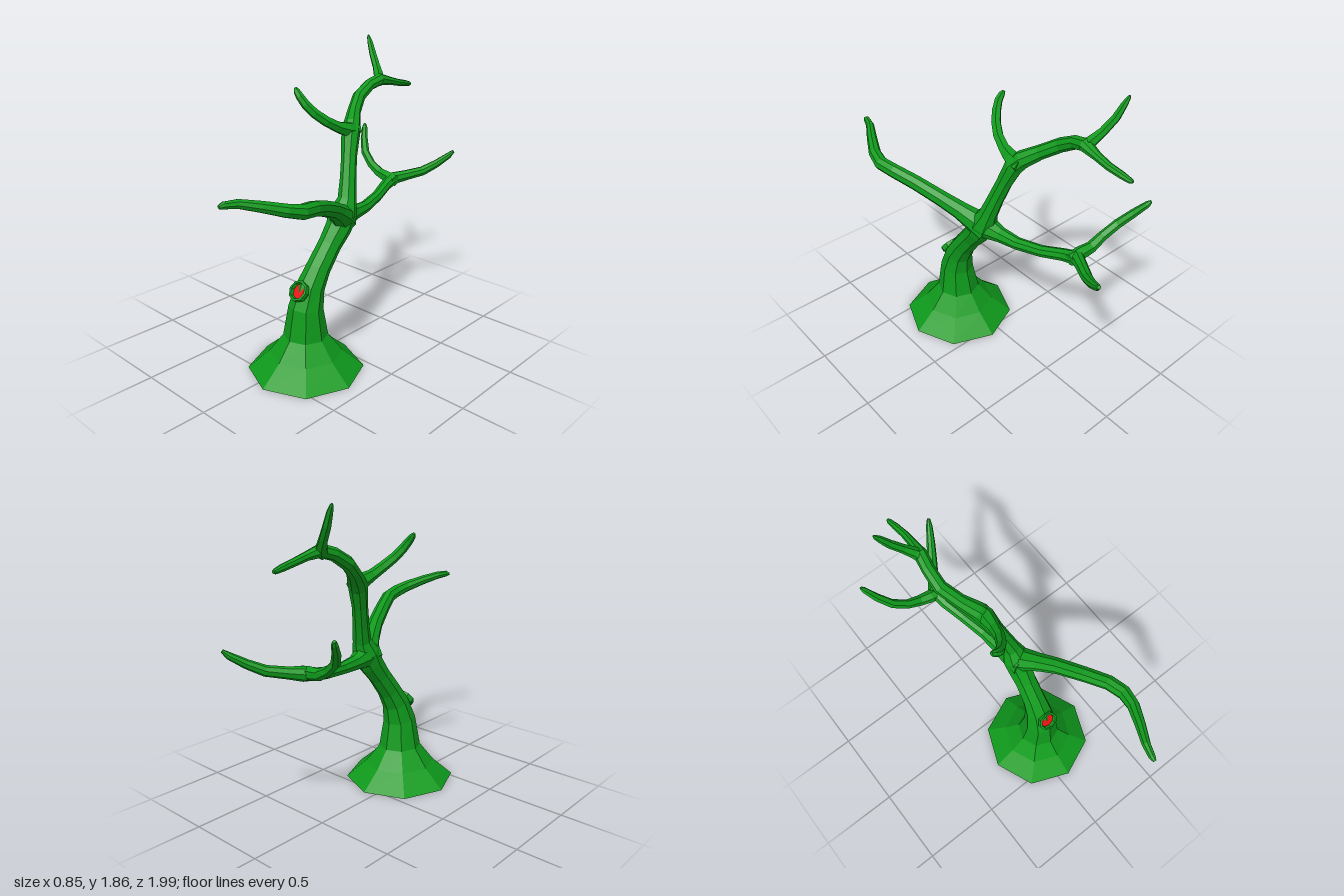
import * as THREE from 'three';

const green = new THREE.MeshStandardMaterial({ color: 0x0f9a1c, flatShading: true, side: THREE.DoubleSide });
const red = new THREE.MeshStandardMaterial({ color: 0xe81010, flatShading: true, side: THREE.DoubleSide });

// Sweep a polygon along points [x, y, z, radius], closing both ends.
function limb(name, points, sides) {
  const P = points.map(p => new THREE.Vector3(p[0], p[1], p[2]));
  const n = P.length;
  const verts = [], index = [];
  let u = null;
  P.forEach((p, i) => {
    const t = new THREE.Vector3();
    if (i > 0) t.add(P[i].clone().sub(P[i - 1]).normalize());
    if (i < n - 1) t.add(P[i + 1].clone().sub(P[i]).normalize());
    t.normalize();
    if (!u) u = Math.abs(t.x) > 0.7 ? new THREE.Vector3(0, 1, 0) : new THREE.Vector3(1, 0, 0);
    u.addScaledVector(t, -u.dot(t)).normalize();
    const v = t.clone().cross(u);
    for (let k = 0; k < sides; k++) {
      const a = k / sides * Math.PI * 2;
      const q = p.clone()
        .addScaledVector(u, Math.cos(a) * points[i][3])
        .addScaledVector(v, Math.sin(a) * points[i][3]);
      verts.push(q.x, q.y, q.z);
    }
  });
  for (let i = 0; i < n - 1; i++) {
    for (let k = 0; k < sides; k++) {
      const a = i * sides + k, b = i * sides + (k + 1) % sides;
      index.push(a, b, b + sides, a, b + sides, a + sides);
    }
  }
  const first = n * sides, last = first + 1, end = (n - 1) * sides;
  verts.push(...P[0].toArray(), ...P[n - 1].toArray());
  for (let k = 0; k < sides; k++) {
    const j = (k + 1) % sides;
    index.push(j, k, first, end + k, end + j, last);
  }
  const geo = new THREE.BufferGeometry();
  geo.setAttribute('position', new THREE.Float32BufferAttribute(verts, 3));
  geo.setIndex(index);
  geo.computeVertexNormals();
  const mesh = new THREE.Mesh(geo, green);
  mesh.name = name;
  return mesh;
}

export function createModel() {
  const tree = new THREE.Group();
  tree.name = 'bareTree';

  // Flared trunk running on into the upper stem
  tree.add(limb('trunk', [
    [0.07, 0, 0.285, 0.347], [0.07, 0.11, 0.285, 0.22], [0.07, 0.22, 0.285, 0.133],
    [0.075, 0.4, 0.285, 0.103], [0.08, 0.52, 0.25, 0.084], [0.085, 0.62, 0.19, 0.073],
    [0.09, 0.74, 0.1, 0.069], [0.095, 0.83, 0.03, 0.078], [0.095, 0.91, -0.015, 0.083],
    [0.09, 0.99, -0.05, 0.056], [0.065, 1.1, -0.085, 0.049], [0.035, 1.22, -0.125, 0.047],
    [0.005, 1.34, -0.17, 0.056], [-0.02, 1.39, -0.21, 0.052], [-0.075, 1.45, -0.29, 0.041],
    [-0.125, 1.52, -0.39, 0.04], [-0.125, 1.58, -0.49, 0.037], [-0.11, 1.605, -0.57, 0.038],
    [-0.1, 1.585, -0.66, 0.025], [-0.098, 1.565, -0.74, 0.022], [-0.105, 1.55, -0.82, 0.02],
    [-0.11, 1.54, -0.87, 0.015], [-0.112, 1.54, -0.885, 0.008],
  ], 8));

  // Long branch reaching forward
  tree.add(limb('frontBranch', [
    [0.09, 0.86, -0.03, 0.075], [0.125, 0.915, 0.04, 0.07], [0.17, 0.965, 0.12, 0.055],
    [0.225, 1.02, 0.22, 0.048], [0.295, 1.085, 0.37, 0.045], [0.355, 1.13, 0.5, 0.043],
    [0.378, 1.145, 0.6, 0.042], [0.36, 1.17, 0.69, 0.037], [0.305, 1.205, 0.8, 0.031],
    [0.25, 1.232, 0.9, 0.025], [0.228, 1.236, 0.97, 0.02], [0.225, 1.232, 0.995, 0.01],
  ], 8));

  // Long branch reaching back, with its side fork
  tree.add(limb('backBranch', [
    [0.1, 0.89, 0.05, 0.075], [0.085, 0.885, -0.05, 0.068], [0.068, 0.875, -0.14, 0.046],
    [0.05, 0.875, -0.26, 0.037], [0.01, 0.895, -0.42, 0.034], [-0.028, 0.93, -0.55, 0.036],
    [-0.04, 0.955, -0.64, 0.042], [0.01, 0.97, -0.72, 0.034], [0.07, 0.99, -0.81, 0.031],
    [0.125, 1.035, -0.89, 0.026], [0.17, 1.085, -0.96, 0.02], [0.188, 1.113, -0.988, 0.01],
  ], 8));
  tree.add(limb('backFork', [
    [0, 0.95, -0.62, 0.038], [-0.08, 0.962, -0.625, 0.039], [-0.15, 0.973, -0.637, 0.033],
    [-0.23, 1.015, -0.645, 0.028], [-0.31, 1.075, -0.675, 0.027], [-0.37, 1.15, -0.73, 0.024],
    [-0.41, 1.215, -0.78, 0.018], [-0.42, 1.235, -0.793, 0.009],
  ], 6));

  // Curled shoot on the upper stem
  tree.add(limb('upperFrontShoot', [
    [0, 1.36, -0.22, 0.05], [0, 1.375, -0.14, 0.046], [-0.01, 1.4, -0.07, 0.034],
    [-0.03, 1.44, 0, 0.031], [-0.065, 1.49, 0.06, 0.029], [-0.1, 1.54, 0.095, 0.027],
    [-0.13, 1.585, 0.112, 0.024], [-0.155, 1.615, 0.113, 0.019], [-0.168, 1.63, 0.11, 0.009],
  ], 6));

  // Topmost upright shoot
  tree.add(limb('topShoot', [
    [-0.105, 1.585, -0.55, 0.036], [-0.135, 1.625, -0.585, 0.032], [-0.18, 1.675, -0.615, 0.025],
    [-0.235, 1.745, -0.643, 0.023], [-0.27, 1.81, -0.657, 0.018], [-0.29, 1.845, -0.664, 0.011],
    [-0.295, 1.855, -0.666, 0.005],
  ], 6));

  // Sawn-off stub with a red hollow, tilted up and forward
  const stub = new THREE.Group();
  stub.name = 'hollowStub';
  const profile = [[0.055, -0.08], [0.055, 0], [0.064, 0.012], [0.064, 0.038], [0.05, 0.04], [0.045, 0.012]];
  const rim = new THREE.Mesh(new THREE.LatheGeometry(profile.map(p => new THREE.Vector2(...p)), 8), green);
  rim.name = 'stubRim';
  const core = new THREE.Mesh(new THREE.CylinderGeometry(0.048, 0.048, 0.02, 8), red);
  core.name = 'stubCore';
  core.position.y = 0.008;
  stub.add(rim, core);
  stub.position.set(0.08, 0.508, 0.325);
  stub.rotation.x = 0.95;
  tree.add(stub);

  return tree;
}
